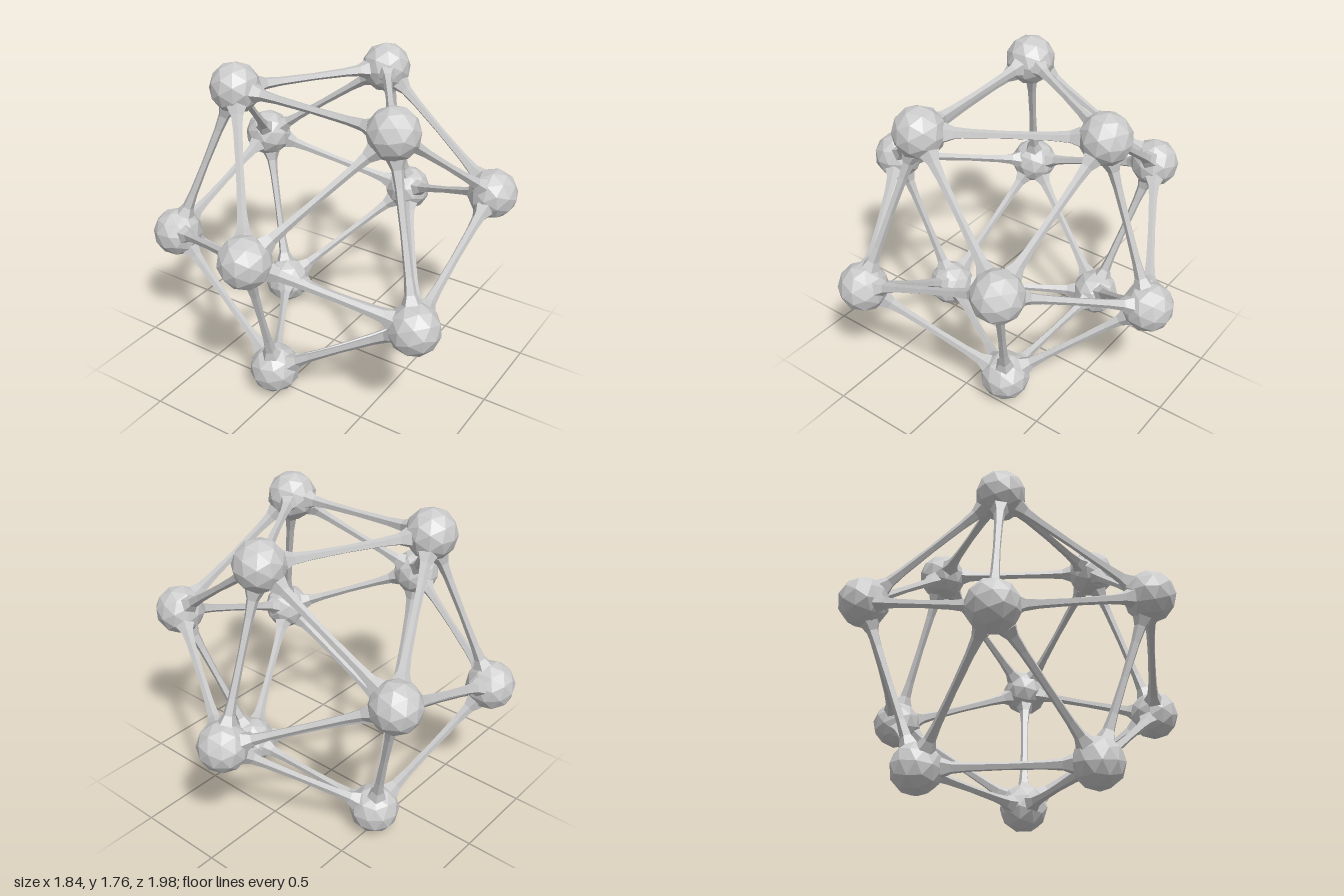
import * as THREE from 'three';

const BALL = 0.14;

// Twelve joints of a slightly irregular icosahedral frame
const JOINTS = [
  [-0.46, 1.62, 0.25], [0.5, 1.585, 0.24], [0, 1.585, -0.54],
  [-0.77, 1.035, -0.425], [0.755, 1.035, -0.44], [0.04, 1.02, 0.855],
  [-0.78, 0.735, 0.445], [0.78, 0.68, 0.465], [0, 0.675, -0.86],
  [-0.51, 0.14, -0.23], [0.435, 0.155, -0.235], [-0.035, 0.145, 0.55],
].map((p) => new THREE.Vector3(...p));

// Faceted rod whose ends flare out where they meet the balls
function strut(a, b, material) {
  const length = a.distanceTo(b);
  const s = BALL * 0.9;
  const profile = [
    [0.055, s], [0.033, s + 0.05], [0.025, s + 0.14], [0.021, length / 2],
    [0.025, length - s - 0.14], [0.033, length - s - 0.05], [0.055, length - s],
  ].map(([r, y]) => new THREE.Vector2(r, y));
  const mesh = new THREE.Mesh(new THREE.LatheGeometry(profile, 5), material);
  mesh.position.copy(a);
  mesh.quaternion.setFromUnitVectors(
    new THREE.Vector3(0, 1, 0), b.clone().sub(a).normalize());
  return mesh;
}

export function createModel() {
  const model = new THREE.Group();
  model.name = 'icosahedralFrame';
  const material = new THREE.MeshStandardMaterial({ color: 0xcccccc, flatShading: true });

  // Low-poly balls, each turned a little differently
  const ballGeometry = new THREE.IcosahedronGeometry(BALL, 1);
  JOINTS.forEach((p, i) => {
    const ball = new THREE.Mesh(ballGeometry, material);
    ball.name = `jointBall${i + 1}`;
    ball.position.copy(p);
    ball.rotation.set(i * 0.7, i * 1.3, i * 0.4);
    model.add(ball);
  });

  // Struts between neighbouring joints
  let count = 0;
  JOINTS.forEach((a, i) => JOINTS.slice(i + 1).forEach((b) => {
    if (a.distanceTo(b) > 1.2) return;
    const rod = strut(a, b, material);
    rod.name = `strut${++count}`;
    model.add(rod);
  }));
  return model;
}
